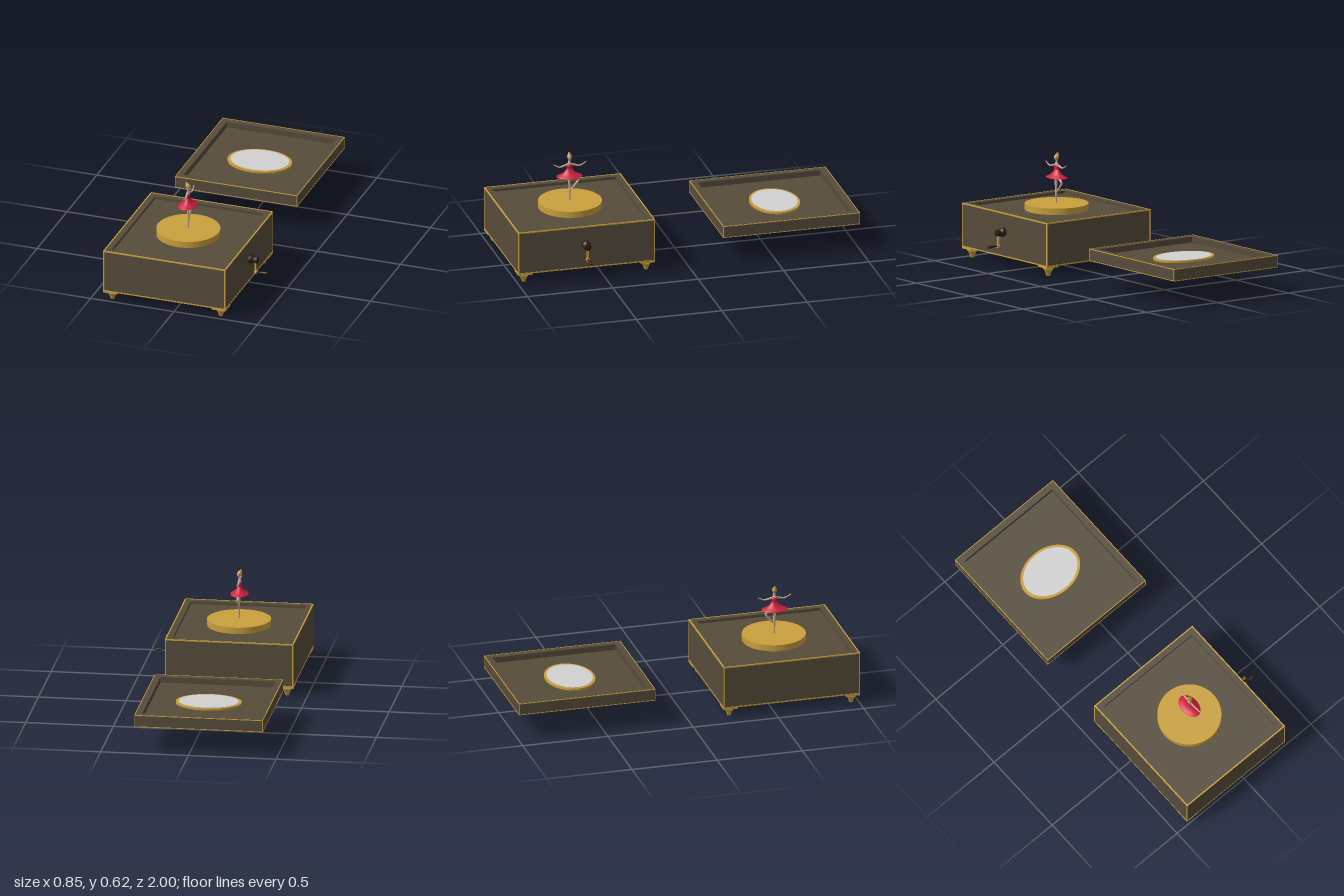
import * as THREE from 'three';

const mat = (name, color, double) => {
  const m = new THREE.MeshStandardMaterial({ color });
  m.name = name;
  if (double) m.side = THREE.DoubleSide;
  return m;
};

export function createModel() {
  const model = new THREE.Group();
  model.name = 'musicBox';
  const wood = mat('darkWood', 0x564c3b);
  const gold = mat('gold', 0xcaa03c);
  const red = mat('redCloth', 0xd2213f, true);
  const skin = mat('skin', 0xcbab90);
  const ebony = mat('ebony', 0x2e2010);
  const glass = mat('mirrorGlass', 0xd2d2d2);

  const add = (parent, name, geo, material, x = 0, y = 0, z = 0) => {
    const m = new THREE.Mesh(geo, material);
    m.name = name;
    m.position.set(x, y, z);
    parent.add(m);
    return m;
  };
  const lathe = (pts, seg = 24) =>
    new THREE.LatheGeometry(pts.map(([r, y]) => new THREE.Vector2(r, y)), seg);

  const CX = -0.0585, W = 0.733, D = 0.8;

  // Open tray: floor slab, raised rim and bars along all twelve edges
  function tray(name, z, y0, y1, floorY, t) {
    const g = new THREE.Group();
    g.name = name;
    g.position.set(CX, 0, z);
    model.add(g);
    const e = 0.0015, w = W - 2 * e, d = D - 2 * e, wall = 0.038;
    add(g, 'body', new THREE.BoxGeometry(w, floorY - y0 - e, d), wood, 0, (y0 + e + floorY) / 2, 0);
    const h = y1 - e - floorY, ry = floorY + h / 2;
    for (const s of [-1, 1]) {
      add(g, 'rimSide', new THREE.BoxGeometry(wall, h, d), wood, s * (w - wall) / 2, ry, 0);
      add(g, 'rimEnd', new THREE.BoxGeometry(w - 2 * wall, h, wall), wood, 0, ry, s * (d - wall) / 2);
      for (const y of [y0 + t / 2, y1 - t / 2]) {
        add(g, 'trimSide', new THREE.BoxGeometry(t, t, D), gold, s * (W - t) / 2, y, 0);
        add(g, 'trimEnd', new THREE.BoxGeometry(W - 2 * t, t, t), gold, 0, y, s * (D - t) / 2);
      }
      for (const k of [-1, 1])
        add(g, 'trimCorner', new THREE.BoxGeometry(t, y1 - y0 - 2 * t, t), gold,
          s * (W - t) / 2, (y0 + y1) / 2, k * (D - t) / 2);
    }
    return g;
  }

  const base = tray('base', 0.6, 0.059, 0.311, 0.293, 0.007);
  const lid = tray('lid', -0.6, 0.155, 0.225, 0.19, 0.004);

  // Turntable
  add(base, 'turntable', new THREE.CylinderGeometry(0.181, 0.181, 0.038, 64), gold, 0, 0.311, -0.003);

  // Feet with corner plates
  for (const sx of [-1, 1]) for (const sz of [-1, 1]) {
    const foot = new THREE.Group();
    foot.name = 'foot';
    foot.position.set(sx * 0.325, 0, sz * 0.358);
    base.add(foot);
    add(foot, 'footPlate', new THREE.BoxGeometry(0.083, 0.009, 0.083), gold, 0, 0.0545, 0);
    add(foot, 'footCone', lathe([[0, 0], [0.011, 0], [0.013, 0.008], [0.018, 0.022],
      [0.026, 0.036], [0.035, 0.05], [0, 0.05]]), gold);
  }

  // Oval mirror with gold frame
  add(lid, 'mirrorFrame', new THREE.CylinderGeometry(1, 1, 0.012, 64), gold, 0, 0.196, 0)
    .scale.set(0.187, 1, 0.141);
  add(lid, 'mirror', new THREE.CylinderGeometry(1, 1, 0.002, 64), glass, 0, 0.203, 0)
    .scale.set(0.17, 1, 0.128);

  // Crank, built along +x
  const crank = new THREE.Group();
  crank.name = 'crank';
  crank.position.set(0.307, 0.201, 0.605);
  model.add(crank);
  add(crank, 'crankHub', lathe([[0, 0], [0.025, 0], [0.026, 0.014], [0.023, 0.021], [0.015, 0.027],
    [0.014, 0.032], [0.019, 0.036], [0.02, 0.05], [0.017, 0.055], [0, 0.055]]), ebony)
    .rotation.z = -Math.PI / 2;
  add(crank, 'crankArm', new THREE.BoxGeometry(0.008, 0.075, 0.013), gold, 0.041, -0.048, 0);
  add(crank, 'crankPin', new THREE.CylinderGeometry(0.011, 0.011, 0.012, 20), gold, 0.042, -0.076, 0)
    .rotation.z = Math.PI / 2;
  add(crank, 'crankHandle', lathe([[0, 0], [0.004, 0.002], [0.004, 0.02], [0.007, 0.04],
    [0.009, 0.055], [0.007, 0.067], [0, 0.072]], 16), ebony, 0.046, -0.075, 0)
    .rotation.z = -Math.PI / 2;

  // Dancer, facing +x
  const dancer = new THREE.Group();
  dancer.name = 'dancer';
  dancer.position.set(-0.06, 0, 0.6);
  model.add(dancer);

  // Tapered limb along a smooth path with a radius at each point
  function limb(name, pts, radii, material) {
    const curve = new THREE.CatmullRomCurve3(pts.map(p => new THREE.Vector3(...p)));
    const n = 24, sides = 10;
    const geo = new THREE.TubeGeometry(curve, n, 1, sides);
    const pos = geo.attributes.position, v = new THREE.Vector3();
    for (let i = 0; i <= n; i++) {
      const c = curve.getPointAt(i / n);
      const f = curve.getUtoTmapping(i / n) * (radii.length - 1);
      const k = Math.min(Math.floor(f), radii.length - 2);
      const r = THREE.MathUtils.lerp(radii[k], radii[k + 1], f - k);
      for (let j = 0; j <= sides; j++) {
        const q = i * (sides + 1) + j;
        v.fromBufferAttribute(pos, q).sub(c).multiplyScalar(r).add(c);
        pos.setXYZ(q, v.x, v.y, v.z);
      }
    }
    geo.computeVertexNormals();
    return add(dancer, name, geo, material);
  }

  // Dress: flared skirt and bodice
  add(dancer, 'skirt', lathe([[0.005, 0.481], [0.05, 0.474], [0.051, 0.477], [0.038, 0.485],
    [0.027, 0.494], [0.018, 0.506], [0.012, 0.52]], 32), red).scale.z = 1.48;
  add(dancer, 'bodice', lathe([[0.012, 0.519], [0.011, 0.527], [0.013, 0.538], [0.0125, 0.547],
    [0.006, 0.551], [0, 0.551]]), red).scale.z = 1.4;

  // Neck, shoulders, face, hair
  add(dancer, 'neck', lathe([[0, 0.545], [0.012, 0.548], [0.009, 0.555], [0.0055, 0.561],
    [0.005, 0.585]], 16), skin).scale.z = 1.3;
  add(dancer, 'face', new THREE.SphereGeometry(1, 20, 14), skin, 0.003, 0.59, 0)
    .scale.set(0.012, 0.017, 0.0115);
  add(dancer, 'hair', new THREE.SphereGeometry(1, 20, 14), gold, -0.001, 0.594, 0)
    .scale.set(0.0135, 0.017, 0.0135);
  add(dancer, 'hairBun', new THREE.SphereGeometry(0.0075, 14, 10), gold, -0.007, 0.61, 0);

  // Arms, mirrored
  for (const s of [-1, 1]) {
    limb('arm', [[0, 0.548, s * 0.014], [0.002, 0.541, s * 0.036], [0.005, 0.537, s * 0.058],
      [0.004, 0.546, s * 0.08], [0.002, 0.556, s * 0.098]], [0.006, 0.0055, 0.0045, 0.0035, 0.0025], skin);
  }

  // Standing leg and raised leg, each with a pointed shoe
  limb('standingLeg', [[0.002, 0.485, 0.004], [0.003, 0.44, 0.002], [0.003, 0.415, 0], [0.003, 0.39, 0],
    [0.002, 0.352, 0]], [0.009, 0.0075, 0.006, 0.0065, 0.0045], skin);
  limb('standingShoe', [[0.002, 0.355, 0], [0.003, 0.343, 0], [0.002, 0.329, 0]], [0.005, 0.0048, 0.003], skin);
  limb('raisedLeg', [[0.002, 0.485, -0.012], [0.003, 0.467, -0.034], [0.003, 0.449, -0.05],
    [0.003, 0.425, -0.034], [0.003, 0.403, -0.015]], [0.009, 0.008, 0.0065, 0.006, 0.0045], skin);
  limb('raisedShoe', [[0.003, 0.405, -0.017], [0.004, 0.395, -0.008], [0.004, 0.384, 0.002]],
    [0.005, 0.0045, 0.002], skin);

  return model;
}
